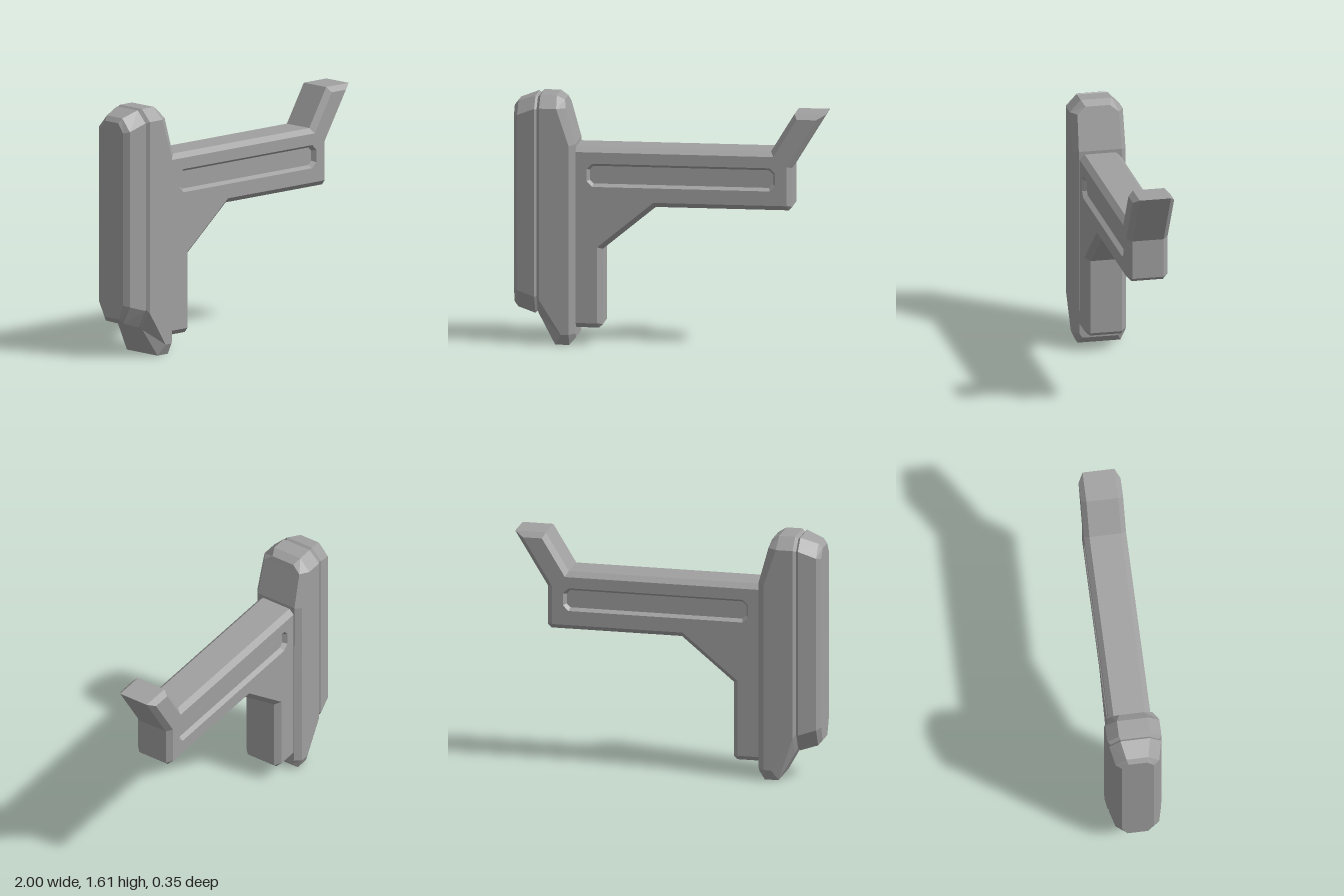
import * as THREE from 'three';

const grey = new THREE.MeshStandardMaterial({ color: 0xa0a0a0 });
grey.name = 'matte grey';

// Flat-shaded geometry from a list of planar quads
function quads(list) {
  const pos = [];
  for (const [a, b, c, d] of list) pos.push(...a, ...b, ...c, ...a, ...c, ...d);
  const g = new THREE.BufferGeometry();
  g.setAttribute('position', new THREE.Float32BufferAttribute(pos, 3));
  g.computeVertexNormals();
  return g;
}

// Skin between closed rings of equal length
function loft(rings, extra = []) {
  const list = [...extra];
  for (let r = 0; r + 1 < rings.length; r++) {
    const a = rings[r], b = rings[r + 1], n = a.length;
    for (let i = 0; i < n; i++) {
      const j = (i + 1) % n;
      list.push([a[i], b[i], b[j], a[j]]);
    }
  }
  return quads(list);
}

// Mitred inward offset of a counter-clockwise outline
function inset(pts, d) {
  const n = pts.length;
  return pts.map(([x, y], i) => {
    const [px, py] = pts[(i + n - 1) % n], [qx, qy] = pts[(i + 1) % n];
    const l1 = Math.hypot(x - px, y - py), l2 = Math.hypot(qx - x, qy - y);
    const n1 = [-(y - py) / l1, (x - px) / l1], n2 = [-(qy - y) / l2, (qx - x) / l2];
    const k = d / (1 + n1[0] * n2[0] + n1[1] * n2[1]);
    return [x + (n1[0] + n2[0]) * k, y + (n1[1] + n2[1]) * k];
  });
}

const atZ = (pts, z) => pts.map(([x, y]) => [x, y, z]);
const mirrorX = (pts) => pts.map(([x, y]) => [-x, y]).reverse();
const vectors = (pts) => pts.map(([x, y]) => new THREE.Vector2(x, y));

function add(parent, name, geometry) {
  const mesh = new THREE.Mesh(geometry, grey);
  mesh.name = name;
  parent.add(mesh);
  return mesh;
}

const HALF = 0.135, RIM = 0.102, FLOOR = 0.107;

// Arm outline with rear cheek hook and lower leg, counter-clockwise
const outline = [
  [-0.68, 0.11], [-0.452, 0.11], [-0.43, 0.132], [-0.43, 0.62], [-0.09, 0.9],
  [0.763, 0.9], [0.785, 0.922], [0.785, 1.175], [1, 1.525], [0.8, 1.525],
  [0.65, 1.28], [-0.68, 1.28],
];

// Long slot with clipped corners
const slot = [
  [-0.495, 1.025], [0.645, 1.025], [0.68, 1.06], [0.68, 1.14],
  [0.645, 1.175], [-0.495, 1.175], [-0.53, 1.14], [-0.53, 1.06],
];

// Pad half-sections: top, top shoulder, knee, bottom shoulder, bottom
const section = (x, top, tw, ts, w, bs, bot, bw) =>
  [[x, top, tw], [x, ts, w], [x, 1.29, w], [x, bs, w], [x, bot, bw]];
const padSections = [
  section(-1, 1.53, 0.06, 1.47, 0.103, 0.355, 0.26, 0.065),
  section(-0.975, 1.56, 0.07, 1.48, 0.14, 0.345, 0.23, 0.08),
  section(-0.862, 1.6, 0.095, 1.525, 0.166, 0.31, 0.195, 0.1),
  section(-0.848, 1.588, 0.09, 1.52, 0.154, 0.315, 0.207, 0.095),
  section(-0.83, 1.605, 0.1, 1.53, 0.173, 0.29, 0.175, 0.105),
  [[-0.76, 1.605, 0.1], [-0.76, 1.53, 0.173], [-0.72, 1.29, 0.173], [-0.69, 0.07, 0.173], [-0.73, 0, 0.14]],
  [[-0.725, 1.605, 0.1], [-0.72, 1.53, 0.173], [-0.64, 1.29, 0.173], [-0.64, 0.07, 0.173], [-0.64, 0, 0.14]],
  [[-0.675, 1.575, 0.08], [-0.663, 1.53, 0.135], [-0.6, 1.3, 0.14], [-0.6, 0.075, 0.137], [-0.6, 0.045, 0.115]],
];

function buildPad() {
  const rings = padSections.map((half) => [
    ...[...half].reverse(),
    ...half.map(([x, y, z]) => [x, y, -z]),
  ]);
  const first = rings[0], last = rings[rings.length - 1], n = first.length;
  const caps = [];
  for (let i = 0; i < n / 2 - 1; i++) {
    caps.push([first[i], first[i + 1], first[n - 2 - i], first[n - 1 - i]]);
    caps.push([last[n - 1 - i], last[n - 2 - i], last[i + 1], last[i]]);
  }
  return loft(rings, caps);
}

export function createModel() {
  const model = new THREE.Group();
  model.name = 'shoulderStock';

  // Padded end
  add(model, 'buttPad', buildPad());

  // Arm edge with chamfers
  const arm = new THREE.Group();
  arm.name = 'arm';
  model.add(arm);
  const face = inset(outline, 0.032);
  add(arm, 'armEdge', loft([
    atZ(face, HALF), atZ(outline, RIM), atZ(outline, -RIM), atZ(face, -HALF),
  ]));

  // Flat sides with recessed slots
  for (const back of [false, true]) {
    const flip = back ? mirrorX : (p) => p;
    const side = back ? 'back' : 'front';
    const rim = flip(slot), floor = inset(rim, 0.018);
    const plate = new THREE.Shape(vectors(flip(face)));
    plate.holes.push(new THREE.Path(vectors(rim)));
    const parts = {
      Side: new THREE.ShapeGeometry(plate).translate(0, 0, HALF),
      SlotWall: loft([atZ(floor, FLOOR), atZ(rim, HALF)]),
      SlotFloor: new THREE.ShapeGeometry(new THREE.Shape(vectors(floor))).translate(0, 0, FLOOR),
    };
    for (const [name, geometry] of Object.entries(parts)) {
      if (back) geometry.rotateY(Math.PI);
      add(arm, side + name, geometry);
    }
  }
  return model;
}
